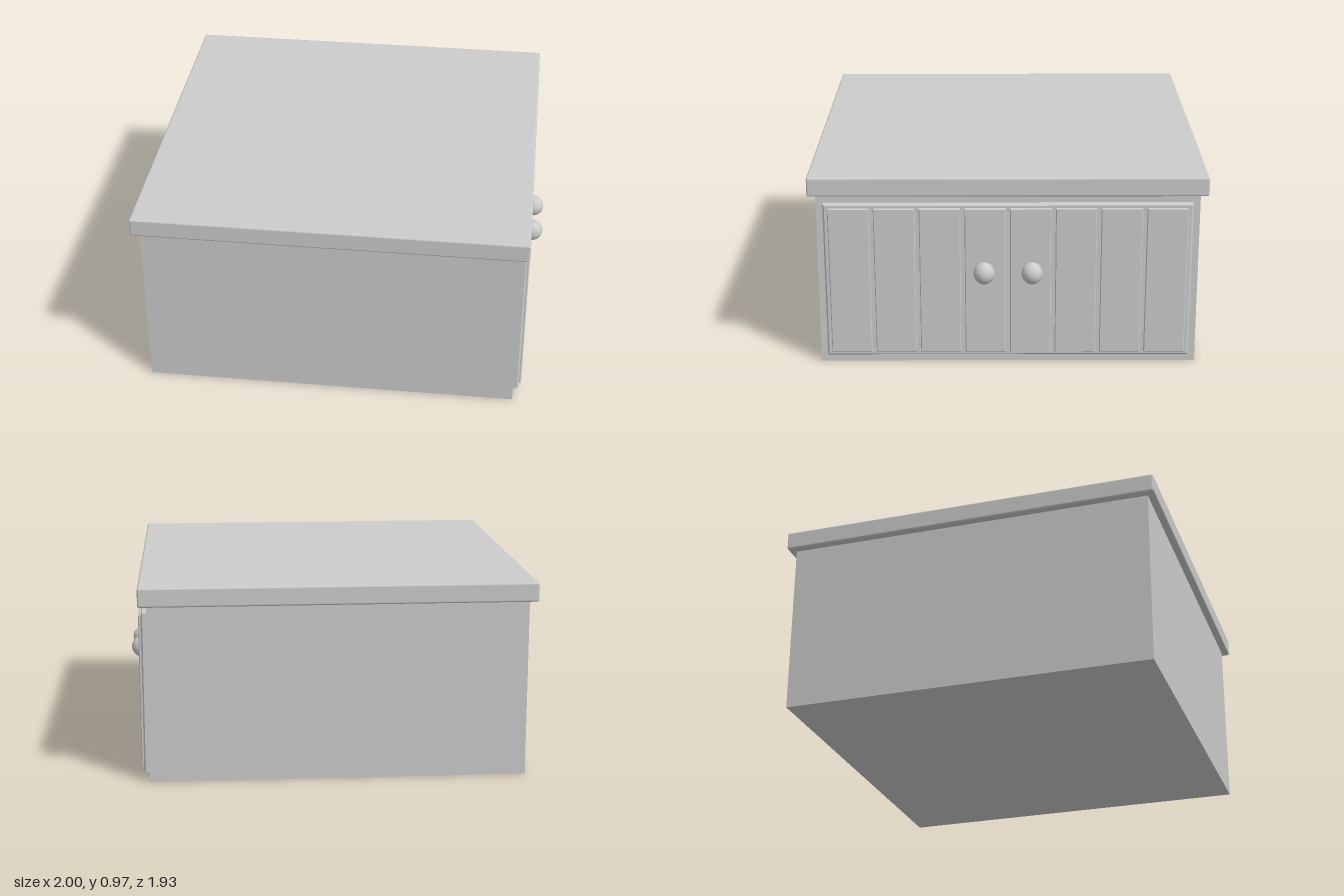
import * as THREE from 'three';
import { RoundedBoxGeometry } from 'three/addons/geometries/RoundedBoxGeometry.js';

const material = new THREE.MeshStandardMaterial({ color: 0xcccccc });

function add(parent, name, geometry, x, y, z) {
  const mesh = new THREE.Mesh(geometry, material);
  mesh.name = name;
  mesh.position.set(x, y, z);
  parent.add(mesh);
  return mesh;
}

// Board facing +x with its back at x = 0 and a chamfer round its outer face
function board(width, height, depth, chamfer) {
  const w = width / 2 - chamfer, h = height / 2 - chamfer;
  const shape = new THREE.Shape([
    new THREE.Vector2(-w, -h), new THREE.Vector2(w, -h),
    new THREE.Vector2(w, h), new THREE.Vector2(-w, h),
  ]);
  const geometry = new THREE.ExtrudeGeometry(shape, {
    depth: depth - 2 * chamfer, bevelEnabled: true,
    bevelSize: chamfer, bevelThickness: chamfer, bevelSegments: 1,
  });
  return geometry.translate(0, 0, chamfer).rotateY(Math.PI / 2);
}

export function createModel() {
  const group = new THREE.Group();
  group.name = 'cabinet';

  // Carcass and overhanging top
  add(group, 'body', new THREE.BoxGeometry(1.855, 0.89, 1.86), -0.0325, 0.445, 0);
  add(group, 'top', new RoundedBoxGeometry(1.935, 0.095, 1.935, 2, 0.01), -0.0325, 0.926, 0);

  // Backing panel of the doors
  add(group, 'doorPanel', board(1.79, 0.795, 0.05, 0.008), 0.873, 0.44, 0);

  // Eight vertical planks, four to each door
  const plank = board(0.2, 0.755, 0.035, 0.004);
  for (let i = 0; i < 8; i++) {
    add(group, 'doorPlank', plank, 0.9, 0.44, (i - 3.5) * 0.2205);
  }

  // Pair of round knobs
  for (const side of [-1, 1]) {
    const knob = add(group, 'knob', new THREE.SphereGeometry(1, 32, 20), 0.948, 0.49, side * 0.117);
    knob.scale.set(0.052, 0.055, 0.051);
  }
  return group;
}
